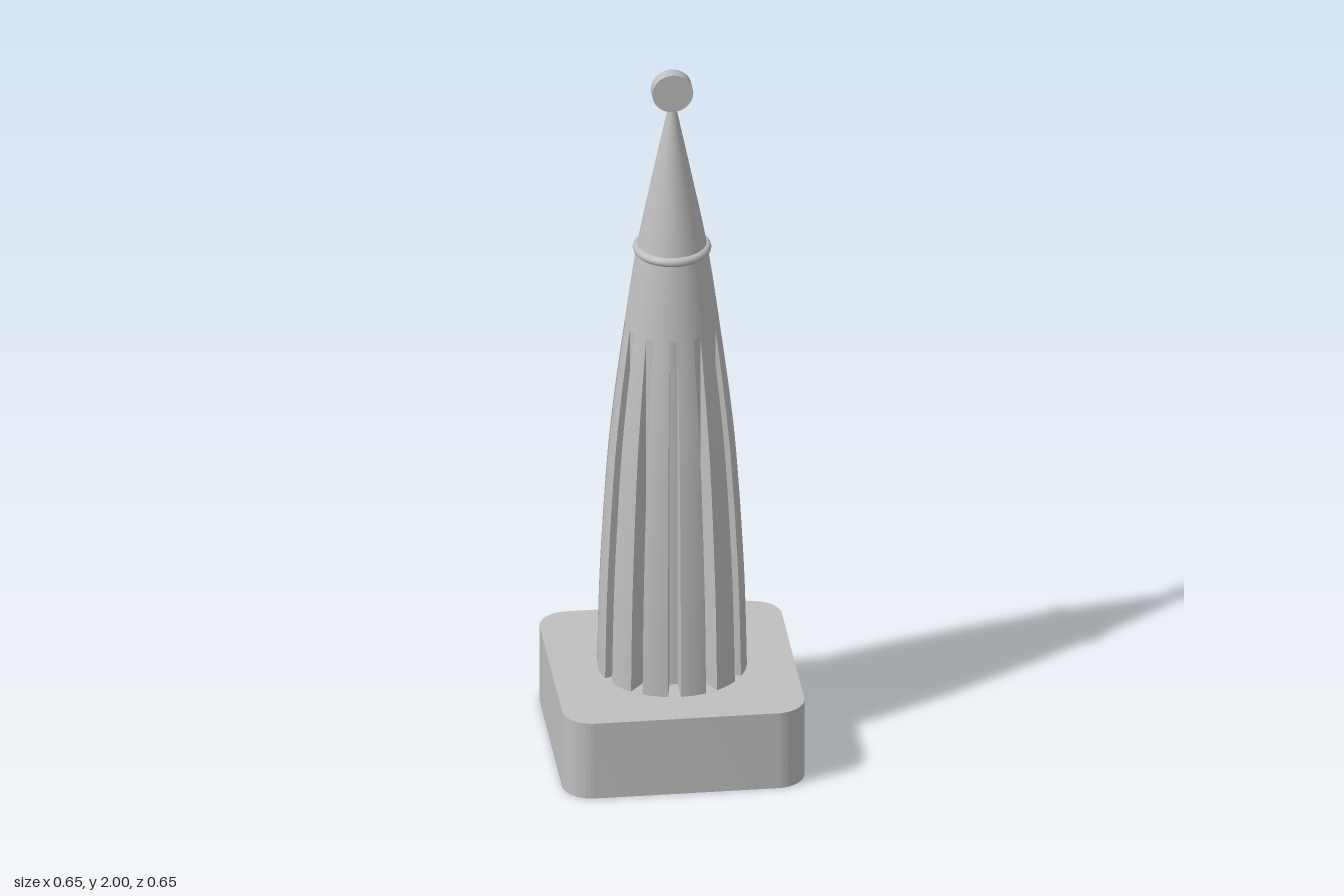
import * as THREE from 'three';
import { toCreasedNormals } from 'three/addons/utils/BufferGeometryUtils.js';

export function createModel() {
  const model = new THREE.Group();
  model.name = 'flutedTower';

  const gray = new THREE.MeshStandardMaterial({ color: 0xbfbfbf, side: THREE.DoubleSide });
  gray.name = 'lightGray';

  function add(name, geometry, parent = model) {
    const mesh = new THREE.Mesh(geometry, gray);
    mesh.name = name;
    parent.add(mesh);
    return mesh;
  }

  // Square plinth with rounded vertical corners
  const h = 0.325, c = 0.08, baseTop = 0.225;
  const outline = new THREE.Shape();
  outline.absarc(h - c, h - c, c, 0, Math.PI / 2);
  outline.absarc(c - h, h - c, c, Math.PI / 2, Math.PI);
  outline.absarc(c - h, c - h, c, Math.PI, Math.PI * 1.5);
  outline.absarc(h - c, c - h, c, Math.PI * 1.5, Math.PI * 2);
  outline.closePath();
  const baseGeometry = new THREE.ExtrudeGeometry(outline, {
    depth: baseTop, bevelEnabled: false, curveSegments: 16,
  });
  baseGeometry.rotateX(-Math.PI / 2);
  add('base', toCreasedNormals(baseGeometry, 0.6));

  // Curved tower profile (radius, height), split where the flutes run out
  const steps = 8, splitAt = 4;
  const profile = new THREE.SplineCurve([
    [0.2, baseTop], [0.193, 0.5], [0.176, 0.8], [0.158, 1.0],
    [0.126, 1.255], [0.094, 1.48], [0.051, 1.7], [0.008, 1.91],
  ].map(([r, y]) => new THREE.Vector2(r, y))).getPoints(7 * steps);
  const lower = profile.slice(0, splitAt * steps + 1);
  const upper = profile.slice(splitAt * steps);
  const { x: coreRadius, y: fluteTop } = lower[lower.length - 1];

  add('spire', new THREE.LatheGeometry(upper, 72));

  // Round core seen at the back of each flute
  const core = new THREE.CylinderGeometry(
    coreRadius, coreRadius, fluteTop - baseTop, 72, 1, true);
  add('core', core).position.y = (baseTop + fluteTop) / 2;

  // Twelve ribs, 20 degrees wide, with 10 degree flutes between them
  const ribCount = 12, pitch = Math.PI * 2 / ribCount, ribAngle = Math.PI / 9;
  const wallShape = new THREE.Shape([new THREE.Vector2(coreRadius, baseTop), ...lower]);
  const ribs = new THREE.Group();
  ribs.name = 'ribs';
  model.add(ribs);
  for (let i = 0; i < ribCount; i++) {
    const start = i * pitch;
    add('ribFace', new THREE.LatheGeometry(lower, 6, start, ribAngle), ribs);
    for (const angle of [start, start + ribAngle]) {
      const wall = new THREE.ShapeGeometry(wallShape);
      wall.rotateY(angle - Math.PI / 2);
      add('ribWall', wall, ribs);
    }
  }

  // Collar around the spire
  const collar = add('collar', new THREE.TorusGeometry(0.092, 0.013, 12, 72));
  collar.rotation.x = Math.PI / 2;
  collar.position.y = 1.477;

  // Upright disc on the tip
  const disc = add('topDisc', new THREE.CylinderGeometry(0.055, 0.055, 0.036, 48));
  disc.rotation.x = Math.PI / 2;
  disc.position.y = 1.945;

  return model;
}
